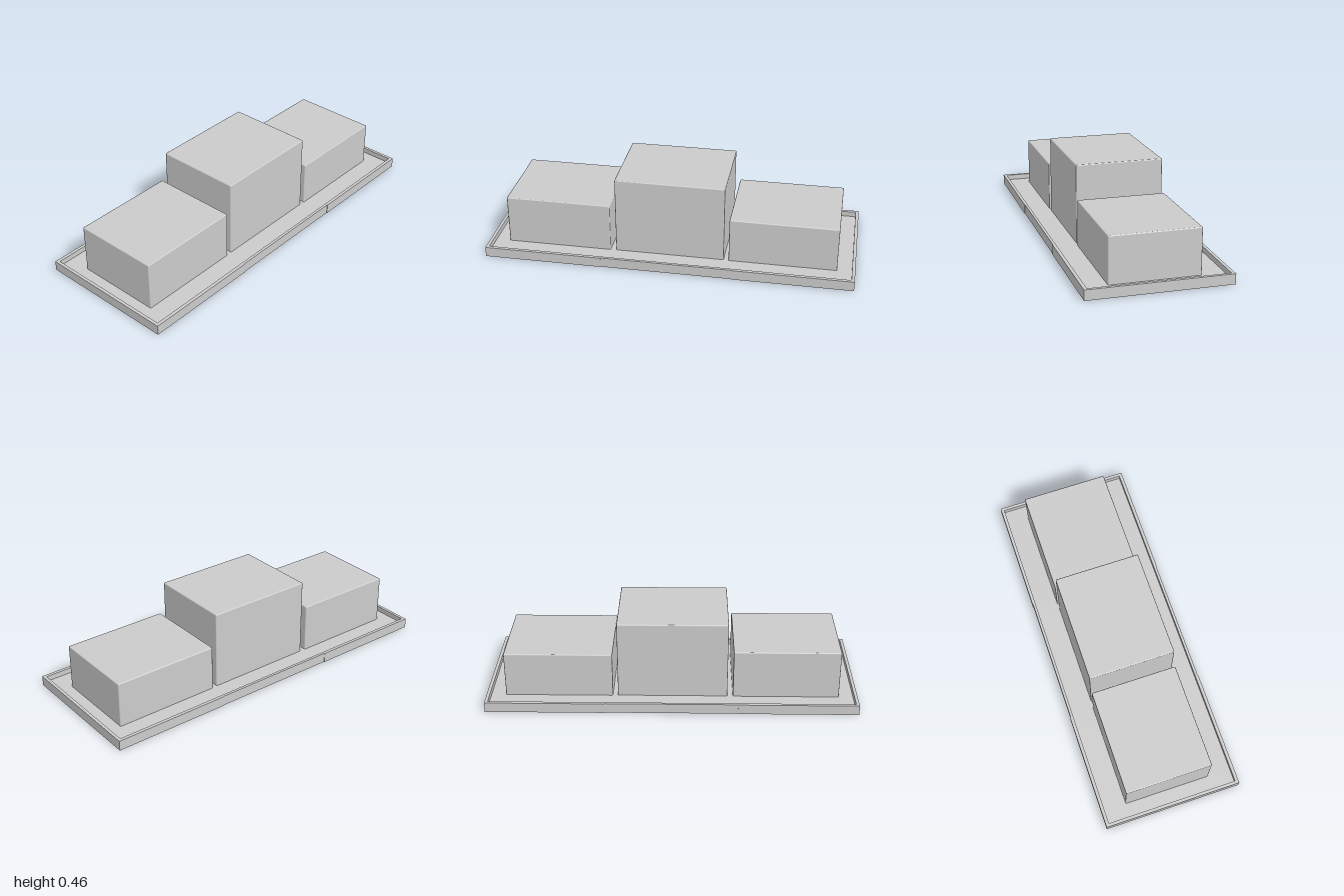
import * as THREE from 'three';
import { RoundedBoxGeometry } from 'three/addons/geometries/RoundedBoxGeometry.js';

const material = new THREE.MeshStandardMaterial({ color: 0xcccccc });

function addMesh(group, name, geometry) {
  const mesh = new THREE.Mesh(geometry, material);
  mesh.name = name;
  group.add(mesh);
  return mesh;
}

// Outline of the tray, with the middle of both long sides set in slightly
function trayOutline() {
  const x = 1, z = 0.38, seam = 0.355, inset = 0.003;
  return [
    [-x, -z], [-seam, -z], [-seam, -z + inset], [seam, -z + inset], [seam, -z], [x, -z],
    [x, z], [seam, z], [seam, z - inset], [-seam, z - inset], [-seam, z], [-x, z],
  ].map(([a, b]) => new THREE.Vector2(a, b));
}

// Extrudes a plan shape upwards from y to y + height
function slab(shape, y, height) {
  return new THREE.ExtrudeGeometry(shape, { depth: height, bevelEnabled: false })
    .rotateX(-Math.PI / 2)
    .translate(0, y, 0);
}

export function createModel() {
  const group = new THREE.Group();
  group.name = 'tieredPodium';
  const floor = 0.026, rimTop = 0.055;

  // Tray floor and raised rim
  addMesh(group, 'trayFloor', slab(new THREE.Shape(trayOutline()), 0, floor));
  const rim = new THREE.Shape(trayOutline());
  const ix = 0.983, iz = 0.362;
  rim.holes.push(new THREE.Path([
    new THREE.Vector2(-ix, -iz), new THREE.Vector2(-ix, iz),
    new THREE.Vector2(ix, iz), new THREE.Vector2(ix, -iz),
  ]));
  addMesh(group, 'trayRim', slab(rim, floor, rimTop - floor));

  // Three blocks with softened edges: x from, x to, top, depth
  const blocks = [
    ['rightBlock', -0.906, -0.331, 0.296, 0.476],
    ['middleBlock', -0.301, 0.294, 0.456, 0.472],
    ['leftBlock', 0.321, 0.904, 0.275, 0.478],
  ];
  const bottom = 0.012; // sunk into the tray floor
  for (const [name, x0, x1, top, depth] of blocks) {
    const block = addMesh(group, name,
      new RoundedBoxGeometry(x1 - x0, top - bottom, depth, 2, 0.006));
    block.position.set((x0 + x1) / 2, (top + bottom) / 2, -0.002);
  }
  return group;
}
